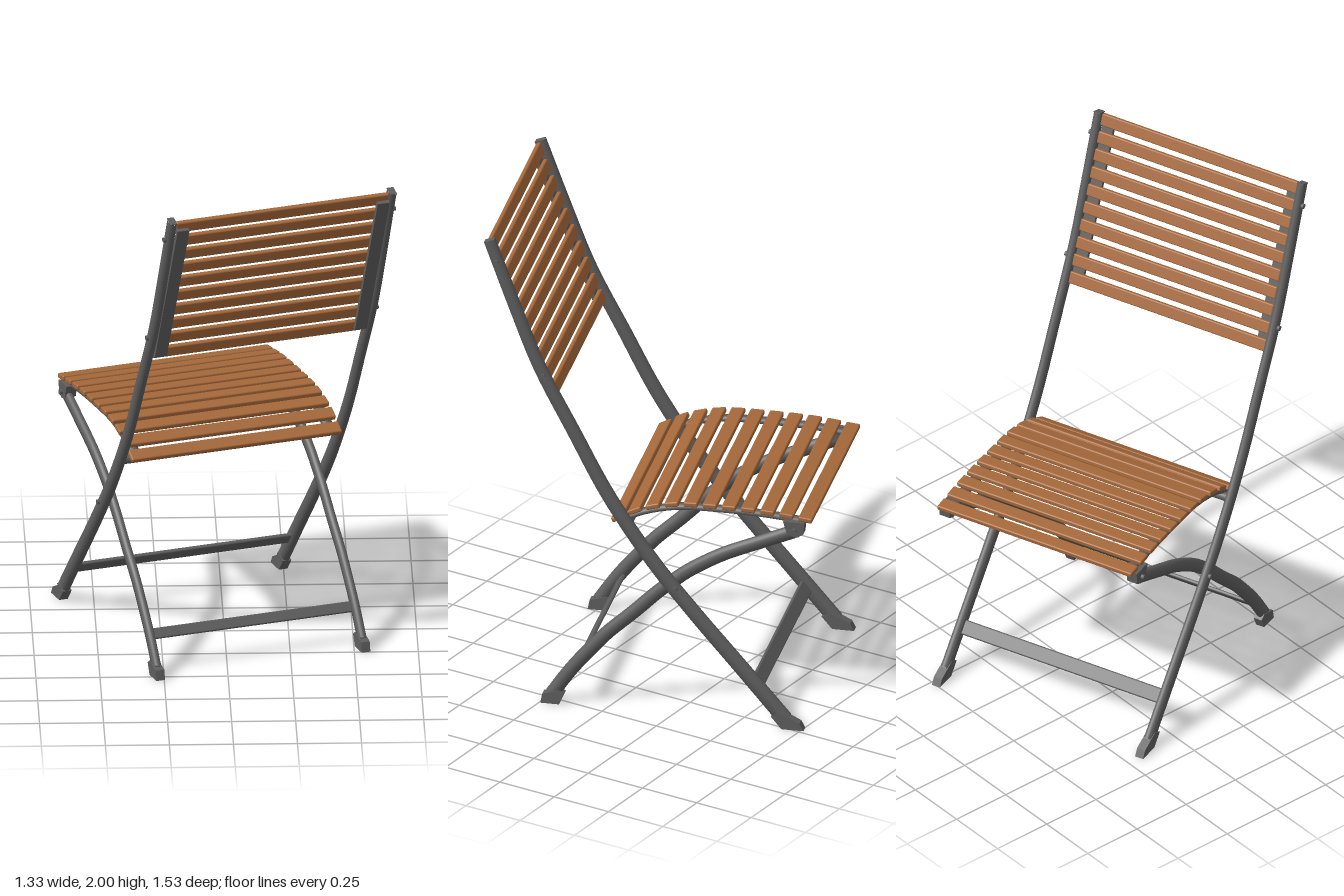
import * as THREE from 'three';
import { mergeGeometries } from 'three/addons/utils/BufferGeometryUtils.js';
import { RoundedBoxGeometry } from 'three/addons/geometries/RoundedBoxGeometry.js';

const wood = new THREE.MeshStandardMaterial({ color: 0xa5683a });
wood.name = 'wood';
const metal = new THREE.MeshStandardMaterial({ color: 0x5e5e5f });
metal.name = 'dark metal';

// smooth curve in the side plane, from [z, y] points
const sideCurve = (pts) =>
  new THREE.CatmullRomCurve3(pts.map(([z, y]) => new THREE.Vector3(0, y, z)), false, 'centripetal');

// flat tube with a rounded-rectangle section along a side curve, tapering from r0 to r1
function flatTube(curve, r0, r1, halfWidth, steps = 40) {
  const sides = 20;
  const tube = new THREE.TubeGeometry(curve, steps, 1, sides, false);
  const pos = tube.attributes.position;
  const v = new THREE.Vector3();
  for (let i = 0; i <= steps; i++) {
    const centre = curve.getPointAt(i / steps);
    const r = THREE.MathUtils.lerp(r0, r1, i / steps);
    for (let j = 0; j <= sides; j++) {
      const k = i * (sides + 1) + j;
      v.fromBufferAttribute(pos, k).sub(centre);
      const c2 = v.x * v.x;
      v.multiplyScalar(r / (c2 ** 1.5 + Math.abs(1 - c2) ** 1.5) ** (1 / 3));
      v.x *= halfWidth / r;
      v.add(centre);
      pos.setXYZ(k, v.x, v.y, v.z);
    }
  }
  // flat end plates
  const ends = [[0, r0], [1, r1]].map(([t, r]) => {
    const p = curve.getPointAt(t);
    const d = curve.getTangentAt(t);
    return new THREE.BoxGeometry(halfWidth * 1.75, r * 1.75, 0.004)
      .rotateX(Math.atan2(-d.y, d.z)).translate(p.x, p.y, p.z);
  });
  return mergeGeometries([tube, ...ends]);
}

// side profile in [z, y] given a width along x
function sidePlate(pts, width) {
  const shape = new THREE.Shape(pts.map(([z, y]) => new THREE.Vector2(z, y)));
  return new THREE.ExtrudeGeometry(shape, { depth: width, bevelEnabled: false })
    .translate(0, 0, -width / 2).rotateY(-Math.PI / 2);
}

export function createModel() {
  const model = new THREE.Group();
  const chair = new THREE.Group();
  chair.name = 'foldingChair';
  chair.rotation.y = 0.343;
  model.add(chair);

  const add = (name, geometry, material, x = 0, y = 0, z = 0) => {
    const mesh = new THREE.Mesh(geometry, material);
    mesh.name = name;
    mesh.position.set(x, y, z);
    chair.add(mesh);
    return mesh;
  };
  const pair = (name, geometry, x, y = 0, z = 0) => {
    add(name + 'Left', geometry, metal, x, y, z);
    add(name + 'Right', geometry, metal, -x, y, z);
  };

  // long outer rails: backrest down to the front feet
  const rail = sideCurve([[0.619, 1.99], [0.52, 1.72], [0.42, 1.464], [0.285, 1.2], [0.145, 0.934],
    [-0.03, 0.67], [-0.193, 0.467], [-0.38, 0.25], [-0.56, 0.04]]);
  pair('rail', flatTube(rail, 0.024, 0.032, 0.016, 48), 0.46);

  // shorter inner legs: seat hinge down to the rear feet, with a knee at each bend
  const leg = sideCurve([[-0.6, 0.843], [-0.45, 0.777], [-0.3, 0.708], [-0.17, 0.627], [-0.13, 0.595],
    [-0.05, 0.525], [0.05, 0.425], [0.15, 0.33], [0.18, 0.297], [0.27, 0.19], [0.315, 0.13], [0.375, 0.04]]);
  pair('innerLeg', flatTube(leg, 0.027, 0.028, 0.015, 48), 0.43);

  // feet
  pair('frontFoot', sidePlate([[-0.55, 0], [-0.508, 0.05], [-0.545, 0.068], [-0.622, 0.03], [-0.638, 0]], 0.036), 0.46);
  pair('rearFoot', sidePlate([[0.345, 0], [0.325, 0.045], [0.345, 0.06], [0.412, 0.04], [0.42, 0]], 0.036), 0.43);

  // seat slats along a curved profile
  const seat = sideCurve([[-0.636, 0.895], [-0.5, 0.91], [-0.3, 0.915], [-0.11, 0.908],
    [0.025, 0.873], [0.112, 0.827]]);
  const slat = new RoundedBoxGeometry(0.88, 0.021, 0.056, 2, 0.006);
  const seatSlats = 11;
  for (let i = 0; i < seatSlats; i++) {
    const t = i / (seatSlats - 1);
    const p = seat.getPointAt(t);
    const d = seat.getTangentAt(t);
    add('seatSlat' + (i + 1), slat, wood, 0, p.y, p.z).rotation.x = Math.atan2(-d.y, d.z);
  }

  // supports under the seat slats
  const seatSupport = sideCurve([[-0.62, 0.878], [-0.5, 0.89], [-0.3, 0.895], [-0.12, 0.888],
    [0.01, 0.855], [0.1, 0.812]]);
  pair('seatSupport', flatTube(seatSupport, 0.011, 0.011, 0.022), 0.405);

  // backrest slats and the straps behind them
  const low = new THREE.Vector2(0.37, 1.353);
  const high = new THREE.Vector2(0.615, 1.963);
  const lean = Math.atan2(high.x - low.x, high.y - low.y);
  const backSlat = new RoundedBoxGeometry(0.89, 0.05, 0.02, 2, 0.006);
  for (let i = 0; i < 10; i++) {
    const p = low.clone().lerp(high, i / 9);
    add('backSlat' + (i + 1), backSlat, wood, 0, p.y, p.x).rotation.x = lean;
  }
  const strap = new THREE.BoxGeometry(0.05, 0.66, 0.016).rotateX(lean);
  pair('backStrap', strap, 0.419, 1.648, 0.508);

  // cross bars: a round one under the seat, flat ones between the legs
  add('seatPivotBar', new THREE.CylinderGeometry(0.018, 0.018, 0.92, 16).rotateZ(Math.PI / 2), metal, 0, 0.803, 0.075);
  add('frontCrossBar', new RoundedBoxGeometry(0.91, 0.06, 0.016, 2, 0.006), metal, 0, 0.17, -0.445)
    .rotation.x = 0.72;
  add('rearCrossBar', new RoundedBoxGeometry(0.85, 0.044, 0.014, 2, 0.005), metal, 0, 0.145, 0.287)
    .rotation.x = -0.66;

  // hinge brackets below the front of the seat
  pair('hingeBracket', sidePlate([[-0.635, 0.885], [-0.63, 0.835], [-0.6, 0.82], [-0.565, 0.835],
    [-0.55, 0.885]], 0.045), 0.425);

  // bolts at the hinges, the leg crossing and the backrest
  const bolt = new THREE.CylinderGeometry(0.01, 0.01, 0.04, 12).rotateZ(Math.PI / 2);
  for (const [name, x, y, z] of [['hingeBolt', 0.44, 0.85, -0.595], ['crossBolt', 0.466, 0.56, -0.125],
    ['lowerBackBolt', 0.466, 1.43, 0.403], ['upperBackBolt', 0.466, 1.905, 0.588]]) {
    pair(name, bolt, x, y, z);
  }
  return model;
}
